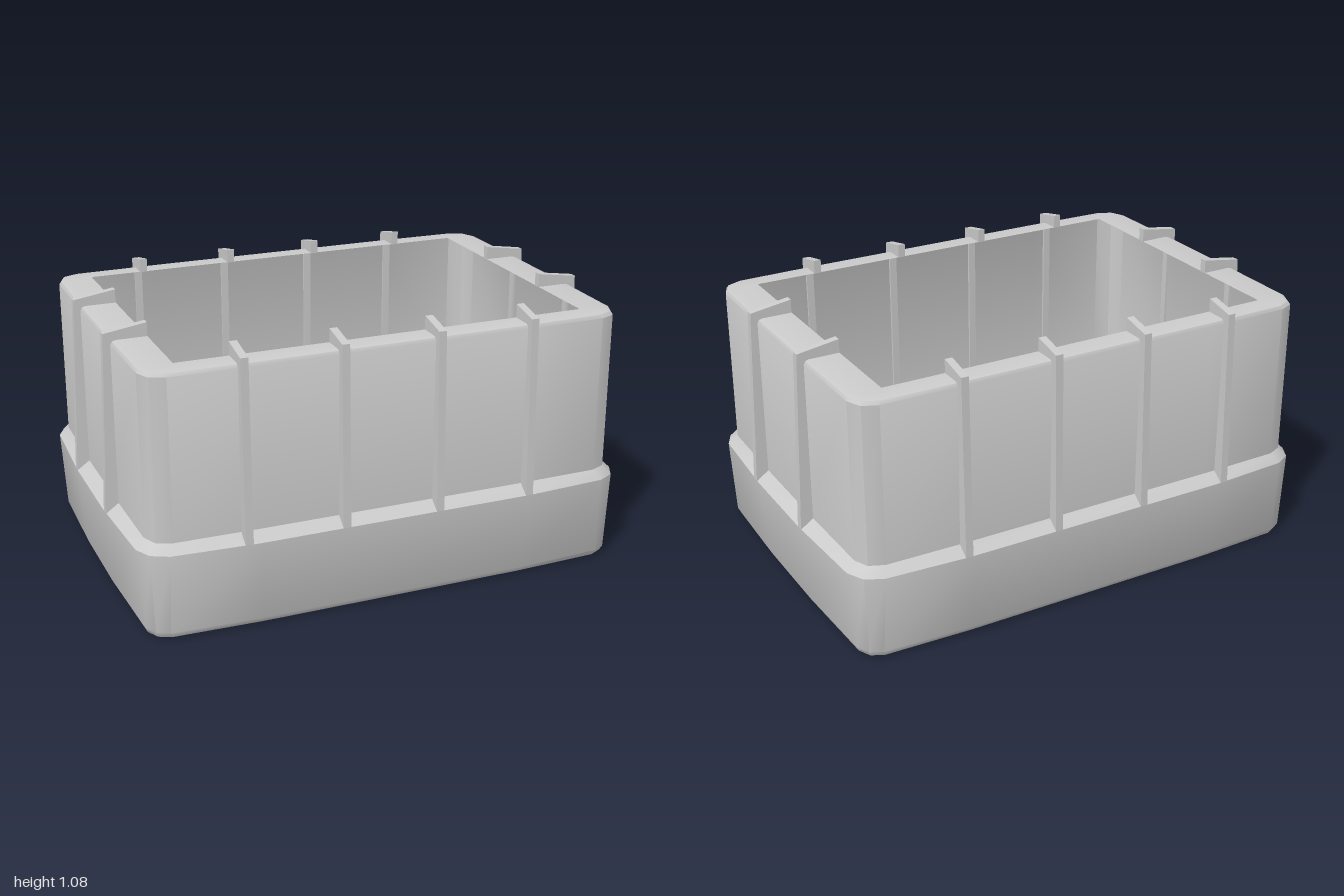
import * as THREE from 'three';
import { toCreasedNormals } from 'three/addons/utils/BufferGeometryUtils.js';

const material = new THREE.MeshStandardMaterial({ color: 0xcccccc, side: THREE.DoubleSide });

// Rounded rectangle outline: half width w, half depth d, corner r, bowed sides b
function outline({ y, w, d, r = 0.002, b = 0, s = 1 }) {
  const cut = b + 0.28 * r;
  const quarter = [
    [w, 0.28 * d], [w - b, d - r], [w - cut, d - cut], [w - r, d - b], [0.55 * w, d],
  ];
  const back = [...quarter].reverse();
  return [
    ...quarter,
    ...back.map(([x, z]) => [-x, z]),
    ...quarter.map(([x, z]) => [-x, -z]),
    ...back.map(([x, z]) => [x, -z]),
  ].map(([x, z]) => [x * s, y, z * s]);
}

// Skin a stack of outlines
function loft(sections) {
  const rings = sections.map(outline);
  const n = rings[0].length;
  const index = [];
  for (let i = 0; i < rings.length - 1; i++) {
    for (let j = 0; j < n; j++) {
      const a = i * n + j, b = i * n + (j + 1) % n;
      index.push(a, a + n, b, b, a + n, b + n);
    }
  }
  const geometry = new THREE.BufferGeometry();
  geometry.setAttribute('position', new THREE.Float32BufferAttribute(rings.flat(2), 3));
  geometry.setIndex(index);
  return toCreasedNormals(geometry, 0.6);
}

function addMesh(parent, name, geometry) {
  const mesh = new THREE.Mesh(geometry, material);
  mesh.name = name;
  parent.add(mesh);
  return mesh;
}

// Upright rib that runs up the wall and hooks over the rim; local x points outward
function ribGeometry(lip, wall, foot, top) {
  const thickness = 0.03;
  const shape = new THREE.Shape([
    [wall, 0.375], [foot - 0.03, 0.345], [foot, 0.345], [top, 1.05],
    [lip, 1.075], [lip, 1.02], [wall, 1.02],
  ].map(([x, y]) => new THREE.Vector2(x, y)));
  return new THREE.ExtrudeGeometry(shape, { depth: thickness, bevelEnabled: false })
    .translate(0, 0, -thickness / 2);
}

export function createModel() {
  const model = new THREE.Group();
  model.name = 'ribbedBin';

  // Thin flared base: floor, softened bottom edge, sides and sloped ledge
  const bottom = { y: 0, w: 0.95, d: 0.655, r: 0.08, b: 0.012 };
  const ledgeTop = { y: 0.38, w: 0.95, d: 0.66, r: 0.09, b: 0.006 };
  addMesh(model, 'base', loft([
    { ...bottom, s: 0 },
    bottom,
    { y: 0.008, w: 0.963, d: 0.672, r: 0.085, b: 0.013 },
    { y: 0.03, w: 0.975, d: 0.685, r: 0.09, b: 0.015 },
    { y: 0.345, w: 1, d: 0.705, r: 0.12, b: 0.02 },
    ledgeTop,
  ]));

  // Thin upper wall turning in to a flat rim around the square opening
  addMesh(model, 'upperWall', loft([
    ledgeTop,
    { ...ledgeTop, y: 1.005 },
    { ...ledgeTop, y: 1.018, w: 0.943, d: 0.653 },
    { ...ledgeTop, y: 1.022, w: 0.93, d: 0.64 },
    { y: 1.022, w: 0.81, d: 0.565 },
  ]));

  // Ribs along the long and short sides
  const ribs = new THREE.Group();
  ribs.name = 'ribs';
  model.add(ribs);
  const longRib = ribGeometry(0.565, 0.65, 0.705, 0.685);
  const shortRib = ribGeometry(0.81, 0.94, 1.0, 0.975);
  for (const side of [1, -1]) {
    for (const x of [-0.59, -0.21, 0.17, 0.55]) {
      const rib = addMesh(ribs, side > 0 ? 'frontRib' : 'backRib', longRib);
      rib.position.x = x;
      rib.rotation.y = -side * Math.PI / 2;
    }
    for (const z of [0.235, -0.205]) {
      const rib = addMesh(ribs, side > 0 ? 'leftRib' : 'rightRib', shortRib);
      rib.position.z = z;
      rib.rotation.y = side > 0 ? 0 : Math.PI;
    }
  }
  return model;
}
